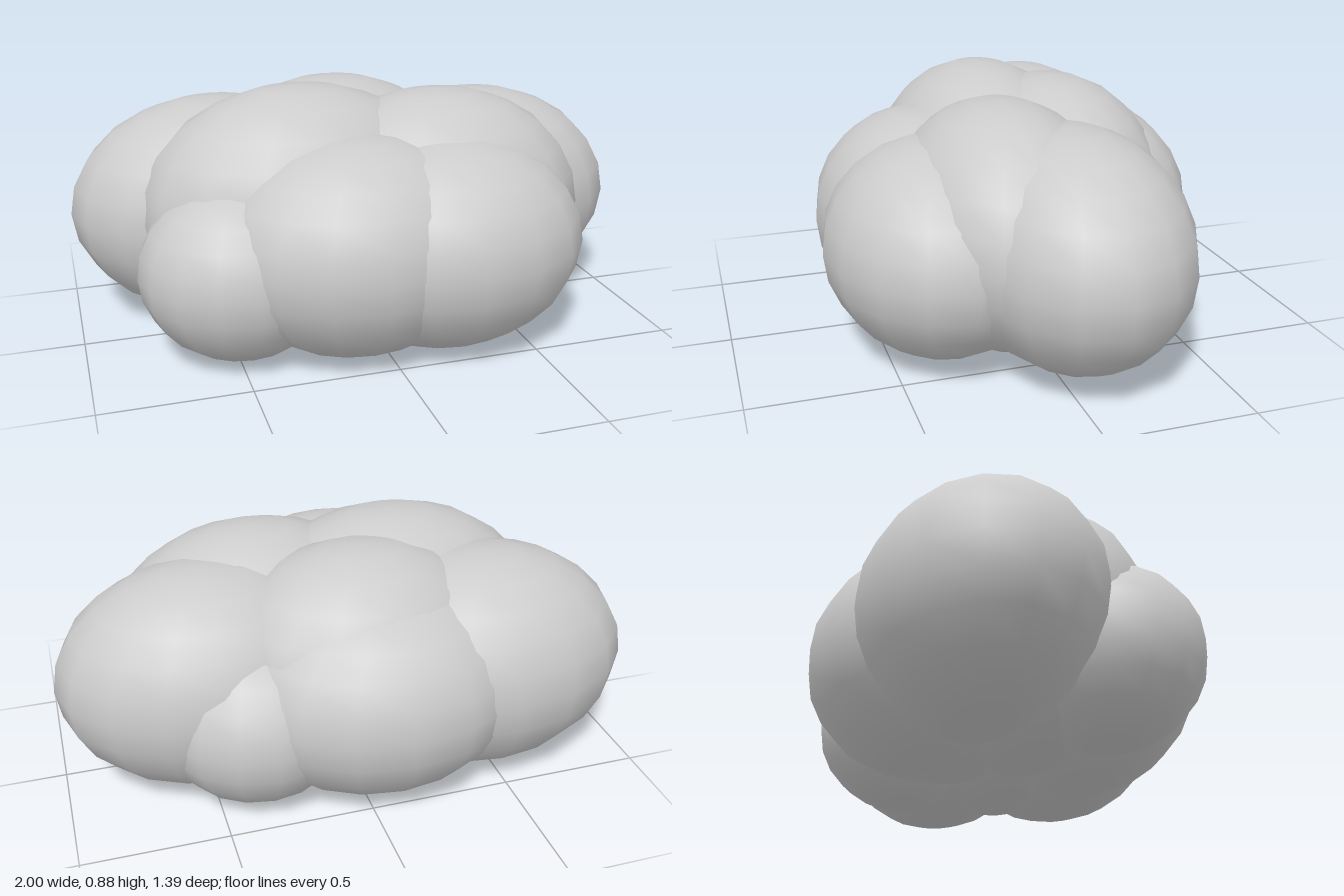
import * as THREE from 'three';

// Each puff: name, centre [x, y, z], radii [x, y, z]
const PUFFS = [
  ['leftSidePuff', [0.47, 0.41, -0.08], [0.53, 0.40, 0.39]],
  ['rightSidePuff', [-0.47, 0.41, -0.23], [0.53, 0.40, 0.40]],
  ['topRightPuff', [-0.22, 0.45, 0.02], [0.57, 0.44, 0.40]],
  ['topLeftPuff', [0.26, 0.44, 0.09], [0.54, 0.42, 0.39]],
  ['topBackPuff', [-0.04, 0.44, -0.19], [0.52, 0.425, 0.40]],
  ['frontMiddlePuff', [-0.08, 0.385, 0.28], [0.50, 0.38, 0.39]],
  ['frontLeftPuff', [0.23, 0.375, 0.30], [0.485, 0.37, 0.395]],
  ['backMiddlePuff', [-0.08, 0.39, -0.29], [0.52, 0.38, 0.41]],
  ['smallFrontPuff', [-0.47, 0.315, 0.21], [0.35, 0.31, 0.32]],
  ['smallBackPuff', [0.34, 0.32, -0.25], [0.35, 0.31, 0.325]],
];

export function createModel() {
  const cloud = new THREE.Group();
  cloud.name = 'cloud';
  const material = new THREE.MeshStandardMaterial({ color: 0xcccccc });
  const sphere = new THREE.SphereGeometry(1, 16, 12);

  // Overlapping smooth ellipsoids
  for (const [name, centre, radii] of PUFFS) {
    const puff = new THREE.Mesh(sphere, material);
    puff.name = name;
    puff.position.set(...centre);
    puff.scale.set(...radii);
    cloud.add(puff);
  }
  return cloud;
}
